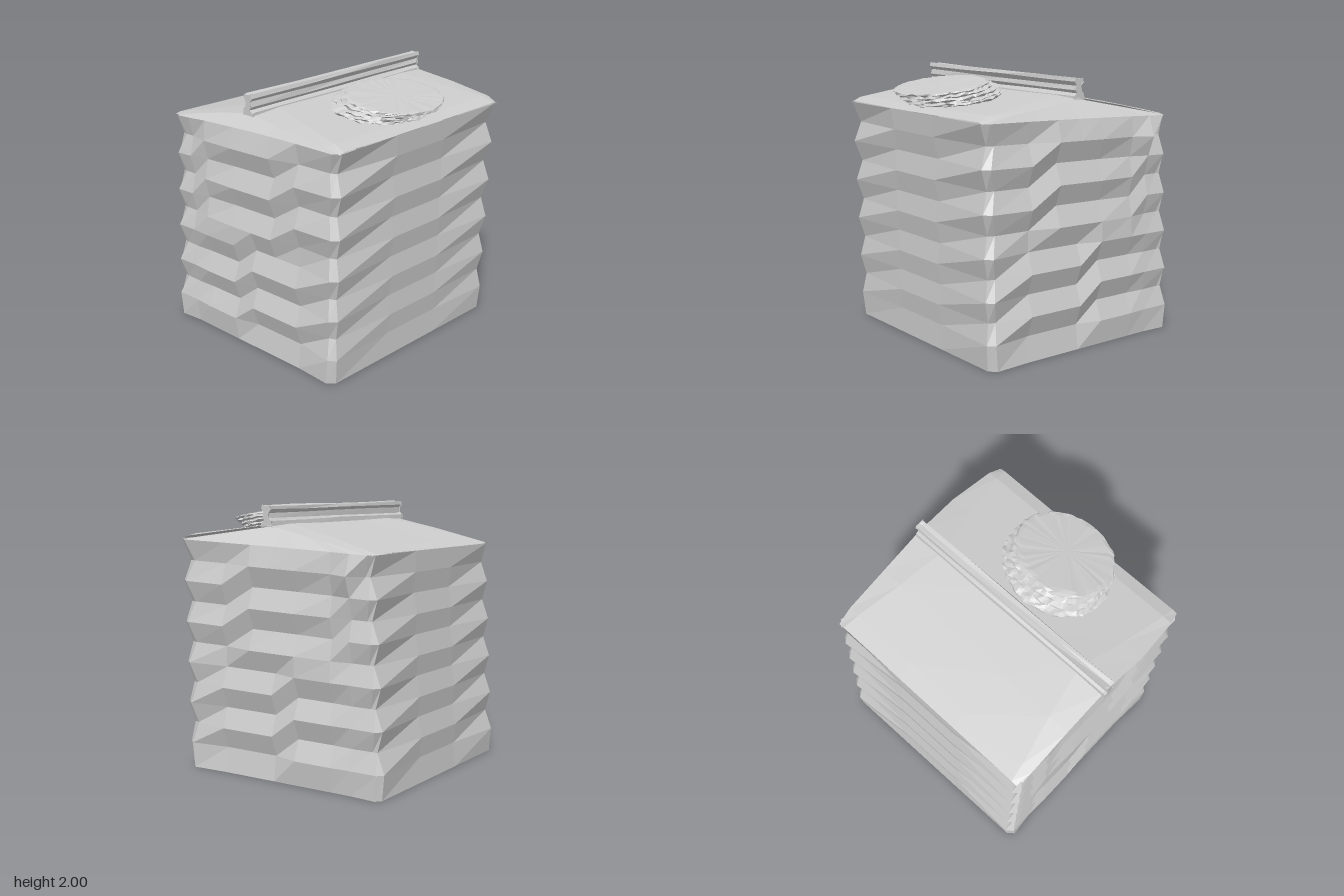
import * as THREE from 'three';

const paper = new THREE.MeshStandardMaterial({ color: 0xcccccc, side: THREE.DoubleSide });
paper.name = 'paper grey';
paper.flatShading = true;

// Small repeatable noise in -1..1
const noise = (a, b) => {
  const s = Math.sin(a * 12.9898 + b * 78.233) * 43758.5453;
  return (s - Math.floor(s)) * 2 - 1;
};

// Skin a list of equal-length rows of [x, y, z] points
function skin(rows, closed, name, fanStart, fanEnd) {
  const n = rows[0].length, pos = rows.flat(2), idx = [];
  const at = (r, c) => r * n + (c % n);
  for (let r = 0; r < rows.length - 1; r++) {
    for (let c = 0; c < (closed ? n : n - 1); c++) {
      const a = at(r, c), b = at(r, c + 1), d = at(r + 1, c), e = at(r + 1, c + 1);
      idx.push(a, b, e, a, e, d);
    }
  }
  const fan = (point, r, flip) => {
    const k = pos.length / 3;
    pos.push(...point);
    for (let c = 0; c < n; c++) {
      idx.push(...(flip ? [at(r, c + 1), at(r, c), k] : [at(r, c), at(r, c + 1), k]));
    }
  };
  if (fanStart) fan(fanStart, 0, true);
  if (fanEnd) fan(fanEnd, rows.length - 1, false);
  const g = new THREE.BufferGeometry();
  g.setAttribute('position', new THREE.Float32BufferAttribute(pos, 3));
  g.setIndex(idx);
  g.computeVertexNormals();
  const mesh = new THREE.Mesh(g, paper);
  mesh.name = name;
  return mesh;
}

// One horizontal ring of the pleated body; the top rim is left straight
const LAST = 11;
function bodyRing(r) {
  const t = r / LAST;
  const s = r === 0 ? 0 : r % 2 ? 1 : -1;
  const level = r === 0 ? 0 : 0.035 + r * 0.154;
  const y = z => level * (1 - 0.0175 * (1 - z / 0.85));
  const front = p => 0.795 + 0.035 * t + s * p * (0.012 + 0.018 * t);
  const back = (p, x) => -0.895 + 0.085 * t - s * p * 0.024 - 0.01 * x;
  const ring = [];
  const add = (x, z) => ring.push([x, y(z), z]);
  const facePhase = r === LAST ? [1, 0.8, 0.8, 1] : [1, -0.5, -0.5, 1];
  const sideZ = [0.45, 0.2, 0, -0.2, -0.5];
  const sidePhase = r === LAST ? [0, -0.3, -0.5, -0.3, 0]
    : r >= 6 ? [1, -1, -1, -1, -0.6] : [-1, -1, -1, 1, 1];
  const cornerX = (r === 0 ? 0.87 : 0.852) + s * 0.022;
  // front face, left to right
  [-0.84, -0.28, 0.25, 0.82].forEach((x, i) => add(x + s * 0.01 * Math.sign(x), front(facePhase[i])));
  // +x side, front to back
  add(cornerX, front(1) - 0.05);
  sideZ.forEach((z, i) => add(0.855 + s * sidePhase[i] * 0.027, z));
  add(r === 10 ? 0.925 : 0.855 + s * 0.018, -0.66);
  add(cornerX, back(1, 1) + 0.04);
  // back face
  [0.83, 0.28, -0.25, -0.84].forEach((x, i) => add(x, back(facePhase[i], x)));
  // -x side, back to front
  add(-cornerX - 0.02, back(1, -1) + 0.04);
  add(-0.872 - s * 0.018, -0.66);
  for (let i = 4; i >= 0; i--) add(-0.872 - s * sidePhase[i] * 0.027, sideZ[i]);
  add(-cornerX - 0.02, front(1) - 0.05);
  return ring;
}

function body() {
  const rings = [];
  for (let r = 0; r <= LAST; r++) rings.push(bodyRing(r));
  return skin(rings, true, 'pleatedBody', [0, 0, -0.05]);
}

// Shallow roof whose ends are closed by gussets folded inward
function roof() {
  const g = new THREE.Group();
  g.name = 'roof';
  // z, ridge-line height, half width, crease position
  const slope = [
    [0.858, 1.734, 0.855, 0.83], [0.76, 1.767, 0.88, 0.82], [0.4, 1.812, 0.905, 0.75],
    [0.03, 1.86, 0.885, 0.66], [-0.35, 1.785, 0.88, 0.73],
    [-0.7, 1.705, 0.88, 0.81], [-0.833, 1.672, 0.86, 0.83],
  ];
  const rows = slope.map(([z, y, w, c]) => [
    [-w - 0.015, y - 0.008, z], [-c, y + 0.005, z], [-0.28, y, z],
    [0.25, y, z], [c - 0.02, y + 0.005, z], [w, y - 0.008, z],
  ]);
  g.add(skin(rows, false, 'roofPanels'));
  const rim = bodyRing(LAST);
  const gusset = (edge, x, name) =>
    g.add(skin([edge, edge.map(() => [x, 1.85, 0.03])], false, name));
  gusset(rim.slice(3, 13), 0.66, 'leftGusset');
  gusset([...rim.slice(15), rim[0]], -0.66, 'rightGusset');
  return g;
}

// Pinched fin along the ridge
function fin() {
  const profile = [
    [0.085, 1.84], [0.08, 1.865], [0.055, 1.885], [0.07, 1.905], [0.06, 1.94],
    [0.08, 1.97], [0.07, 1.995], [0.04, 1.985], [0.005, 1.99], [0, 1.965],
    [0.02, 1.94], [0.015, 1.9], [-0.005, 1.885], [-0.01, 1.84],
  ];
  const xs = [-0.925, -0.9, -0.45, 0, 0.45, 0.85, 0.875];
  const rows = profile.map(([z, y], j) => xs.map((x, i) => [
    x, y + 0.004 * noise(i, j) - 0.003 * i / 6, z - 0.006 * x + 0.003 * noise(j, i),
  ]));
  const g = new THREE.Group();
  g.name = 'ridgeFin';
  g.add(skin(rows, false, 'finSheet'));
  // fin ends
  [[0.875, 1], [-0.925, -1]].forEach(([x, side]) => {
    const shape = new THREE.Shape(profile.map(([z, y]) => new THREE.Vector2(-side * z, y)));
    const end = new THREE.Mesh(new THREE.ShapeGeometry(shape), paper);
    end.rotation.y = side * Math.PI / 2;
    end.position.x = x;
    end.name = 'finEnd';
    g.add(end);
  });
  return g;
}

// Crumpled round cap leaning toward the front
function cap() {
  const N = 64, rings = [];
  // lean 0..1, radius x, radius z
  const steps = [
    [-0.2, 0.37, 0.3], [0, 0.405, 0.32], [0.1, 0.385, 0.305], [0.2, 0.42, 0.335],
    [0.32, 0.395, 0.315], [0.45, 0.415, 0.335], [0.57, 0.385, 0.31], [0.7, 0.405, 0.33],
    [0.82, 0.38, 0.31], [0.92, 0.39, 0.32], [1, 0.375, 0.312], [1.02, 0.345, 0.285],
  ];
  steps.forEach(([k, rx, rz], j) => {
    const cx = -0.035 + 0.015 * k, cz = 0.47 + 0.13 * k, cy = 1.82 + 0.09 * k;
    const rough = j < 10 ? 1 : 0.4;
    const ring = [];
    for (let i = 0; i < N; i++) {
      const a = i / N * Math.PI * 2;
      const f = 1 + rough * (0.022 * noise(i, j) + 0.018 * Math.sin(9 * a + j));
      const dz = -Math.sin(a) * rz * f;
      ring.push([cx + Math.cos(a) * rx * f, cy - 0.16 * dz + rough * 0.007 * noise(j, i), cz + dz]);
    }
    rings.push(ring);
  });
  return skin(rings, true, 'cap', [-0.035, 1.8, 0.45], [-0.02, 1.91, 0.62]);
}

export function createModel() {
  const model = new THREE.Group();
  model.name = 'crumpledCarton';
  model.add(body(), roof(), fin(), cap());
  return model;
}
